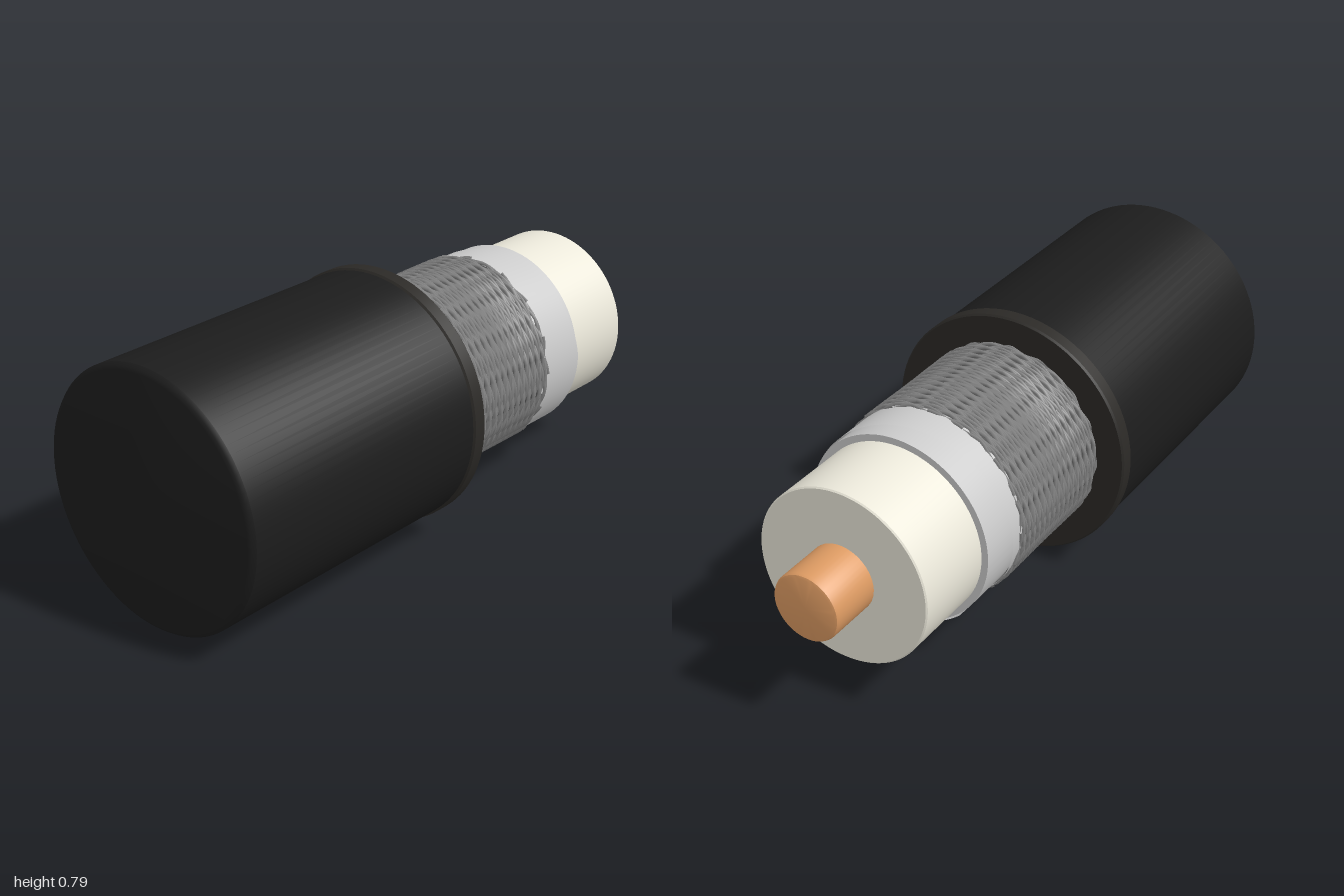
import * as THREE from 'three';
import { toCreasedNormals } from 'three/addons/utils/BufferGeometryUtils.js';

// Stripped coaxial cable: every layer is turned around the x axis.
const AXIS_Y = 0.397;

function material(color, side = THREE.FrontSide) {
  return new THREE.MeshStandardMaterial({ color, side });
}

// Turned layer from [position along x, radius] pairs, left to right
function turned(name, profile, color, segments = 96) {
  const points = profile.map(([x, r]) => new THREE.Vector2(r, x));
  const geometry = new THREE.LatheGeometry(points, segments);
  geometry.rotateZ(-Math.PI / 2);
  const mesh = new THREE.Mesh(toCreasedNormals(geometry, 0.6), material(color));
  mesh.name = name;
  return mesh;
}

// One braid wire: a helix that weaves over and under the opposite wires
class BraidWire extends THREE.Curve {
  constructor(phase, direction, count) {
    super();
    Object.assign(this, { phase, direction, count });
  }
  getPoint(t, target = new THREE.Vector3()) {
    const turns = 2, start = -0.05, length = 0.448;
    const travel = t * turns * Math.PI * 2;
    const a = this.phase + this.direction * travel;
    const weave = Math.cos(travel * this.count + this.phase * this.count / 2);
    const r = 0.3 + 0.004 * this.direction * weave;
    return target.set(start + length * t, Math.cos(a) * r, Math.sin(a) * r);
  }
}

function createBraid() {
  const braid = new THREE.Group();
  braid.name = 'braidedShield';
  braid.add(turned('braidCore', [[-0.06, 0], [-0.06, 0.296], [0.4, 0.296], [0.4, 0.28]], 0x4c4c4c));
  const count = 16;
  const metal = material(0x858585);
  for (const direction of [1, -1]) {
    for (let i = 0; i < count; i++) {
      const wire = new BraidWire((i / count) * Math.PI * 2, direction, count);
      const mesh = new THREE.Mesh(new THREE.TubeGeometry(wire, 256, 0.006, 4), metal);
      mesh.name = 'braidWire';
      braid.add(mesh);
    }
  }
  return braid;
}

// Foil tape wrapped once around, its free edge climbing in a spiral
function createFoilWrap() {
  const geometry = new THREE.PlaneGeometry(1, 1, 96, 2);
  const p = geometry.attributes.position;
  for (let i = 0; i < p.count; i++) {
    const a = -2.4 + (p.getX(i) + 0.5) * Math.PI * 2;
    const edge = Math.min(0.562, 0.5 + 0.04 * a);
    const x = THREE.MathUtils.lerp(0.385, edge, p.getY(i) + 0.5);
    const r = 0.301;
    p.setXYZ(i, x, Math.cos(a) * r, Math.sin(a) * r);
  }
  geometry.computeVertexNormals();
  const mesh = new THREE.Mesh(geometry, material(0xdcdedc, THREE.DoubleSide));
  mesh.name = 'foilWrap';
  return mesh;
}

export function createModel() {
  const model = new THREE.Group();
  model.name = 'coaxialCable';

  const cable = new THREE.Group();
  cable.name = 'cable';
  cable.position.set(0, AXIS_Y, 0.015);
  cable.rotation.y = -0.0405;
  model.add(cable);

  // Outer jacket with a softened far end
  cable.add(turned('jacket', [
    [-0.983, 0], [-0.983, 0.372], [-0.979, 0.382], [-0.968, 0.39],
    [-0.07, 0.39], [-0.07, 0.3],
  ], 0x1c1c1c));

  // Cut lip at the end of the jacket
  cable.add(turned('jacketLip', [
    [-0.085, 0.3], [-0.085, 0.39], [-0.08, 0.396], [-0.04, 0.396],
    [-0.034, 0.391], [-0.034, 0.29],
  ], 0x2b2926));

  cable.add(createBraid());

  // Foil layer and its overlapping turn
  cable.add(turned('foil', [[0.38, 0.28], [0.38, 0.296], [0.56, 0.296], [0.56, 0.27]], 0xd6d8d6));
  cable.add(createFoilWrap());

  // Insulating core
  cable.add(turned('insulator', [
    [0.38, 0], [0.38, 0.275], [0.826, 0.275], [0.83, 0.271], [0.83, 0],
  ], 0xebe8da));

  // Centre conductor
  cable.add(turned('conductor', [
    [0.8, 0], [0.8, 0.105], [0.985, 0.105], [0.992, 0.102], [0.995, 0.095], [0.995, 0],
  ], 0xdc9a62, 48));

  return model;
}
